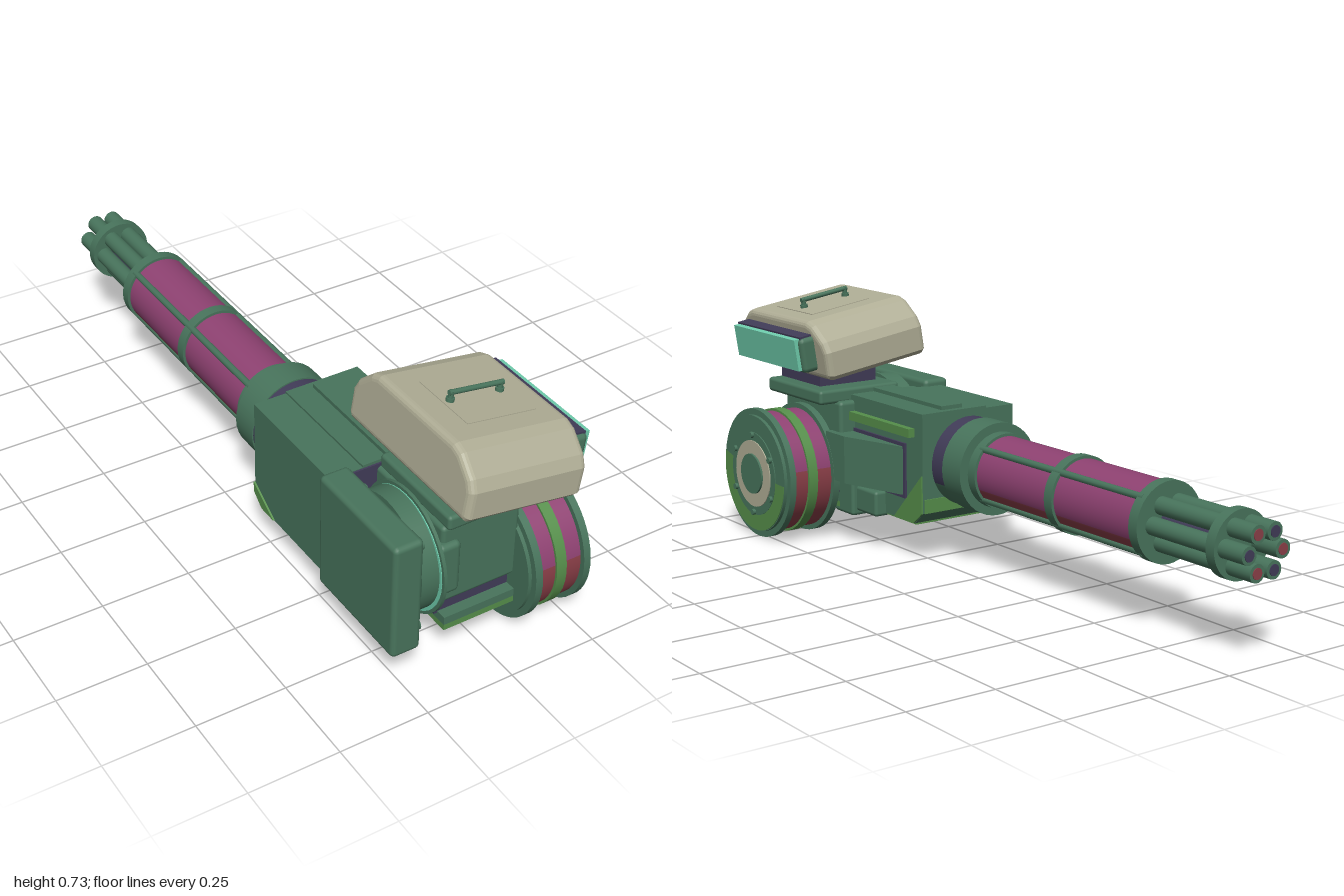
import * as THREE from 'three';
import { RoundedBoxGeometry } from 'three/addons/geometries/RoundedBoxGeometry.js';

const paint = (name, color) => Object.assign(new THREE.MeshStandardMaterial({ color }), { name });

export function createModel() {
  const green = paint('dark green', 0x48745c);
  const lime = paint('light green', 0x568f4b);
  const purple = paint('purple', 0x8f4272);
  const red = paint('dark red', 0x8b3f48);
  const cream = paint('beige', 0xb0ae96);
  const dark = paint('dark violet', 0x413c58);
  const teal = paint('teal', 0x70cfae);

  const model = new THREE.Group();
  model.name = 'rotaryGun';
  const PI = Math.PI;

  const add = (name, geo, mat, parent = model) => {
    const mesh = new THREE.Mesh(geo, mat);
    mesh.name = name;
    parent.add(mesh);
    return mesh;
  };

  // Box given by its min and max on each axis; r rounds the edges
  const box = (name, mat, [x0, x1], [y0, y1], [z0, z1], r = 0, parent = model) => {
    const s = [x1 - x0, y1 - y0, z1 - z0];
    const geo = r ? new RoundedBoxGeometry(...s, 2, r) : new THREE.BoxGeometry(...s);
    geo.translate((x0 + x1) / 2, (y0 + y1) / 2, (z0 + z1) / 2);
    return add(name, geo, mat, parent);
  };

  // Cylinder between a and b along x, y or z; u and v are the other two coordinates
  const cyl = (name, mat, axis, r, a, b, u, v, { start = 0, span = 2 * PI, open = false, sides = 40, parent = model } = {}) => {
    const geo = new THREE.CylinderGeometry(r, r, b - a, sides, 1, open, start, span);
    const m = (a + b) / 2;
    if (axis === 'x') geo.rotateZ(-PI / 2).translate(m, u, v);
    else if (axis === 'z') geo.rotateX(PI / 2).translate(u, v, m);
    else geo.translate(u, m, v);
    return add(name, geo, mat, parent);
  };

  // Side profile of [z, y] points, extruded from x0 to x1
  const sideExtrude = (name, mat, pts, x0, x1, parent = model, bevel = 0) => {
    const shape = new THREE.Shape(pts.map(([z, y]) => new THREE.Vector2(-z, y)));
    const geo = new THREE.ExtrudeGeometry(shape, {
      depth: x1 - x0 - 2 * bevel, bevelEnabled: bevel > 0, bevelSize: bevel, bevelThickness: bevel, bevelOffset: -bevel, bevelSegments: 4,
    });
    geo.rotateY(PI / 2).translate(x0 + bevel, 0, 0);
    return add(name, geo, mat, parent);
  };

  // ---- Barrel assembly, along -z ----
  const bx = -0.11, by = 0.285;
  for (let i = 0; i < 6; i++) {
    const a = (i * PI) / 3;
    const x = bx + 0.055 * Math.cos(a), y = by + 0.055 * Math.sin(a);
    cyl('barrel', green, 'z', 0.024, -0.998, -0.6, x, y, { sides: 20 });
    cyl('muzzleBore', i % 2 ? red : dark, 'z', 0.015, -1, -0.99, x, y, { sides: 16 });
  }
  cyl('barrelCore', dark, 'z', 0.032, -0.9, -0.6, bx, by, { sides: 20 });
  cyl('barrelClamp', green, 'z', 0.09, -0.915, -0.885, bx, by);
  cyl('sleeveTop', purple, 'z', 0.1, -0.64, 0.05, bx, by, { start: PI / 2 - 0.4, span: PI + 0.8, open: true });
  cyl('sleeveBottom', red, 'z', 0.1, -0.64, 0.05, bx, by, { start: 1.5 * PI + 0.4, span: PI - 0.8, open: true });
  for (const z of [-0.64, -0.3, 0.04]) cyl('sleeveRing', green, 'z', 0.108, z - 0.016, z + 0.016, bx, by);
  for (let i = 0; i < 4; i++) {
    const a = PI / 4 + (i * PI) / 2;
    cyl('sleeveRod', green, 'z', 0.01, -0.64, 0.04, bx + 0.1 * Math.cos(a), by + 0.1 * Math.sin(a), { sides: 10 });
  }
  cyl('collar', green, 'z', 0.132, 0.06, 0.145, bx, by);
  cyl('collarBaseTop', dark, 'z', 0.128, 0.145, 0.21, bx, by, { start: PI / 2 - 0.4, span: PI + 0.6 });
  cyl('collarBaseBottom', green, 'z', 0.128, 0.145, 0.21, bx, by, { start: 1.5 * PI + 0.2, span: PI - 0.6 });

  // ---- Receiver body ----
  const bodyProfile = [[0.57, 0.115], [0.24, 0.115], [0.2, 0.15], [0.2, 0.43], [0.57, 0.43]];
  sideExtrude('receiver', green, bodyProfile, -0.265, 0.05);
  box('receiverFront', dark, [-0.26, 0.048], [0.12, 0.428], [0.568, 0.575]);
  box('receiverBelly', lime, [-0.26, 0.045], [0.11, 0.116], [0.24, 0.57]);
  box('topCover', green, [-0.17, 0.05], [0.425, 0.436], [0.2, 0.57]);
  box('topRidge', green, [-0.1, -0.03], [0.43, 0.447], [0.22, 0.57]);
  const corner = [[0.34, 0.117], [0.24, 0.117], [0.2, 0.15], [0.2, 0.26]];
  sideExtrude('cornerPatch', lime, corner, 0.05, 0.055);
  sideExtrude('cornerPatch', lime, corner.map(([z, y]) => [z > 0.3 ? 0.3 : z, y > 0.2 ? 0.18 : y]), -0.27, -0.265);
  box('sideStrip', lime, [0.05, 0.07], [0.365, 0.39], [0.24, 0.56]);
  box('rearPatch', lime, [-0.26, 0.045], [0.15, 0.19], [0.196, 0.201]);

  // Tapered ammunition feed on the right side
  const wedge = new THREE.Shape([[0.03, -0.6], [0.12, -0.6], [0.12, -0.5], [0.06, -0.29], [0.03, -0.29]].map((p) => new THREE.Vector2(...p)));
  add('feedHousing', new THREE.ExtrudeGeometry(wedge, { depth: 0.14, bevelEnabled: false }).rotateX(-PI / 2).translate(0, 0.19, 0), green);
  box('feedFrame', dark, [0.048, 0.056], [0.18, 0.34], [0.28, 0.57]);
  box('feedChute', green, [-0.02, 0.1], [0.09, 0.2], [0.49, 0.59], 0.01);
  box('feedChuteRear', green, [0, 0.085], [0.105, 0.18], [0.39, 0.5], 0.01);

  // ---- Central mount ----
  box('mountBlock', green, [-0.13, 0.1], [0.185, 0.42], [0.55, 0.86], 0.012);
  box('mountPad', green, [-0.145, -0.08], [0.22, 0.375], [0.62, 0.875], 0.015);
  box('mountUnderside', dark, [-0.13, 0.1], [0.14, 0.19], [0.56, 0.84]);
  box('lowerPlate', green, [-0.12, 0.1], [0.122, 0.145], [0.56, 0.87]);
  box('lowerPlateTrim', lime, [-0.12, 0.1], [0.105, 0.122], [0.56, 0.87]);
  cyl('lowerDisc', green, 'y', 0.07, 0.075, 0.105, -0.005, 0.75);
  box('topPlate', green, [-0.12, 0.155], [0.413, 0.455], [0.57, 0.87], 0.01);
  box('neck', [dark, dark, dark, dark, green, dark], [-0.082, 0.112], [0.45, 0.57], [0.64, 0.86]);

  // ---- Left side pivot and shield plate ----
  box('shieldPlate', green, [-0.292, -0.208], [0.112, 0.45], [0.56, 0.9], 0.014);
  cyl('pivotDrum', green, 'x', 0.16, -0.205, -0.155, 0.29, 0.73);
  cyl('pivotCore', dark, 'x', 0.13, -0.21, -0.12, 0.285, 0.73);
  cyl('pivotRim', green, 'x', 0.174, -0.15, -0.141, 0.283, 0.73);
  cyl('pivotGlow', teal, 'x', 0.165, -0.152, -0.146, 0.283, 0.73);
  for (const y of [0.155, 0.405]) for (const z of [0.62, 0.86]) cyl('pivotBolt', green, 'x', 0.016, -0.212, -0.192, y, z, { sides: 12 });

  // ---- Ammunition drum on the right ----
  const dy = 0.195, dz = 0.75;
  cyl('drumAxle', red, 'x', 0.08, 0.06, 0.11, dy, dz);
  cyl('drumTop', purple, 'x', 0.178, 0.11, 0.26, dy, dz, { start: PI + 0.17, span: PI - 0.34, open: true });
  cyl('drumBottom', red, 'x', 0.178, 0.11, 0.26, dy, dz, { start: -0.17, span: PI + 0.34, open: true });
  cyl('drumBand', lime, 'x', 0.185, 0.17, 0.2, dy, dz);
  for (const [x0, x1] of [[0.1, 0.121], [0.248, 0.268]]) cyl('drumFlange', green, 'x', 0.193, x0, x1, dy, dz, { sides: 48 });
  cyl('drumInnerFace', green, 'x', 0.175, 0.09, 0.102, dy, dz);
  cyl('drumOuterFace', green, 'x', 0.175, 0.266, 0.278, dy, dz);
  cyl('drumFacePaint', lime, 'x', 0.172, 0.277, 0.28, dy, dz, { start: -0.25, span: PI + 0.2 });
  cyl('drumInset', green, 'x', 0.125, 0.277, 0.281, dy, dz);
  cyl('drumHubRing', cream, 'x', 0.1, 0.278, 0.284, dy, dz);
  cyl('drumHub', green, 'x', 0.06, 0.28, 0.29, dy, dz);
  for (let i = 0; i < 6; i++) {
    const a = (i * PI) / 3;
    cyl('drumBolt', green, 'x', 0.009, 0.275, 0.29, dy + 0.117 * Math.cos(a), dz + 0.117 * Math.sin(a), { sides: 10 });
  }

  // ---- Tilted sensor head ----
  const head = new THREE.Group();
  head.name = 'sensorHead';
  head.position.set(0.007, 0.603, 0.75);
  head.rotation.z = -0.155;
  model.add(head);
  const half = [[0.25, -0.07], [0.25, 0.0], [0.235, 0.03], [0.185, 0.073], [0.155, 0.083]];
  const hood = [[0.238, -0.083], ...half, ...half.map(([z, y]) => [-z, y]).reverse(), [-0.238, -0.083]];
  sideExtrude('hood', cream, hood.reverse(), -0.17, 0.17, head, 0.018);
  box('hoodFloor', dark, [-0.13, 0.14], [-0.088, -0.08], [-0.2, 0.2], 0, head);
  box('hoodHatch', cream, [-0.09, 0.11], [0.08, 0.085], [-0.1, 0.1], 0, head);
  box('visorTop', dark, [0.15, 0.208], [0.02, 0.05], [-0.18, 0.18], 0, head);
  box('visorHousing', green, [0.15, 0.214], [-0.058, 0.046], [-0.19, 0.19], 0.015, head);
  box('visorLens', teal, [0.208, 0.225], [-0.048, 0.045], [-0.175, 0.175], 0, head);

  // Carry handle
  for (const x of [-0.07, 0.076]) {
    cyl('handleFoot', green, 'y', 0.011, 0.08, 0.094, x, 0, { sides: 12, parent: head });
    cyl('handlePost', green, 'y', 0.007, 0.08, 0.112, x, 0, { sides: 10, parent: head });
  }
  cyl('handleBar', green, 'x', 0.007, -0.077, 0.083, 0.108, 0, { sides: 10, parent: head });

  return model;
}
